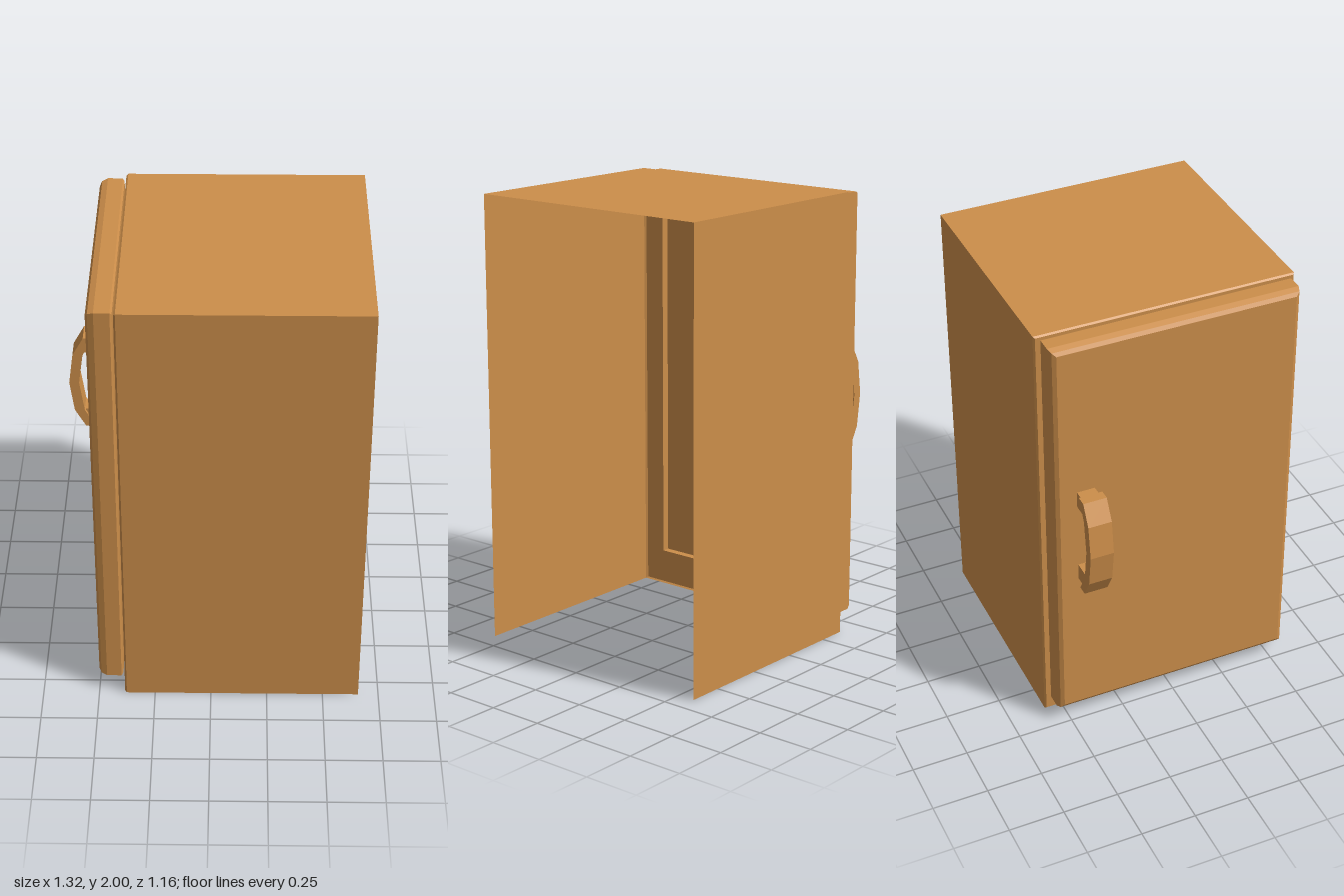
import * as THREE from 'three';

// Lofts rectangular rings [x, halfWidthZ, bottomY, topY]; the first ring is capped.
// openBottom leaves the underside of the last strip open.
function loftRectangles(rings, openBottom = false) {
  const corners = rings.map(([x, w, y0, y1]) => [[x, y0, -w], [x, y0, w], [x, y1, w], [x, y1, -w]]);
  const points = [];
  const quad = (a, b, c, d) => points.push(...a, ...b, ...c, ...a, ...c, ...d);
  quad(...corners[0]);
  for (let i = 0; i < corners.length - 1; i++) {
    for (let k = 0; k < 4; k++) {
      if (openBottom && k === 0 && i === corners.length - 2) continue;
      const n = (k + 1) % 4;
      quad(corners[i][k], corners[i + 1][k], corners[i + 1][n], corners[i][n]);
    }
  }
  const geometry = new THREE.BufferGeometry();
  geometry.setAttribute('position', new THREE.Float32BufferAttribute(points, 3));
  geometry.computeVertexNormals();
  return geometry;
}

export function createModel() {
  const group = new THREE.Group();
  const wood = new THREE.MeshStandardMaterial({ color: 0xcc8e4a, side: THREE.DoubleSide });
  wood.name = 'warm wood';

  const add = (name, geometry, parent = group) => {
    const mesh = new THREE.Mesh(geometry, wood);
    mesh.name = name;
    parent.add(mesh);
    return mesh;
  };

  // Thin shell, open at the bottom and at +x, with a shallow recess behind the door
  add('cabinetShell', loftRectangles([
    [-0.42, 0.475, 0.16, 1.91],
    [-0.385, 0.475, 0.16, 1.91],
    [-0.385, 0.573, 0.006, 1.994],
    [-0.377, 0.58, 0, 2],
    [0.66, 0.58, 0, 2],
  ], true));

  // Door slab with softened edges; its back rim surrounds the recess
  const inset = (x, d) => [x, 0.556 - d, 0.08 + d, 1.99 - d];
  add('door', loftRectangles([
    inset(-0.5, 0.025),
    inset(-0.49, 0.009),
    inset(-0.465, 0),
    inset(-0.4, 0),
    inset(-0.392, 0.01),
    [-0.392, 0.476, 0.159, 1.911],
  ]));

  // Curved handle on two short posts
  const handle = new THREE.Group();
  handle.name = 'handle';
  group.add(handle);

  const outline = [
    [-0.545, 1.28], [-0.59, 1.28], [-0.64, 1.19], [-0.66, 1.04], [-0.64, 0.89], [-0.59, 0.8],
    [-0.545, 0.8], [-0.594, 0.89], [-0.615, 1.04], [-0.594, 1.19],
  ].map(([x, y]) => new THREE.Vector2(x, y));
  const grip = new THREE.ExtrudeGeometry(new THREE.Shape(outline), { depth: 0.105, bevelEnabled: false });
  add('handleGrip', grip.translate(0, 0, -0.465), handle);

  for (const [name, y] of [['upperPost', 1.235], ['lowerPost', 0.85]]) {
    add(name, new THREE.BoxGeometry(0.09, 0.075, 0.08), handle).position.set(-0.545, y, -0.414);
  }

  return group;
}
